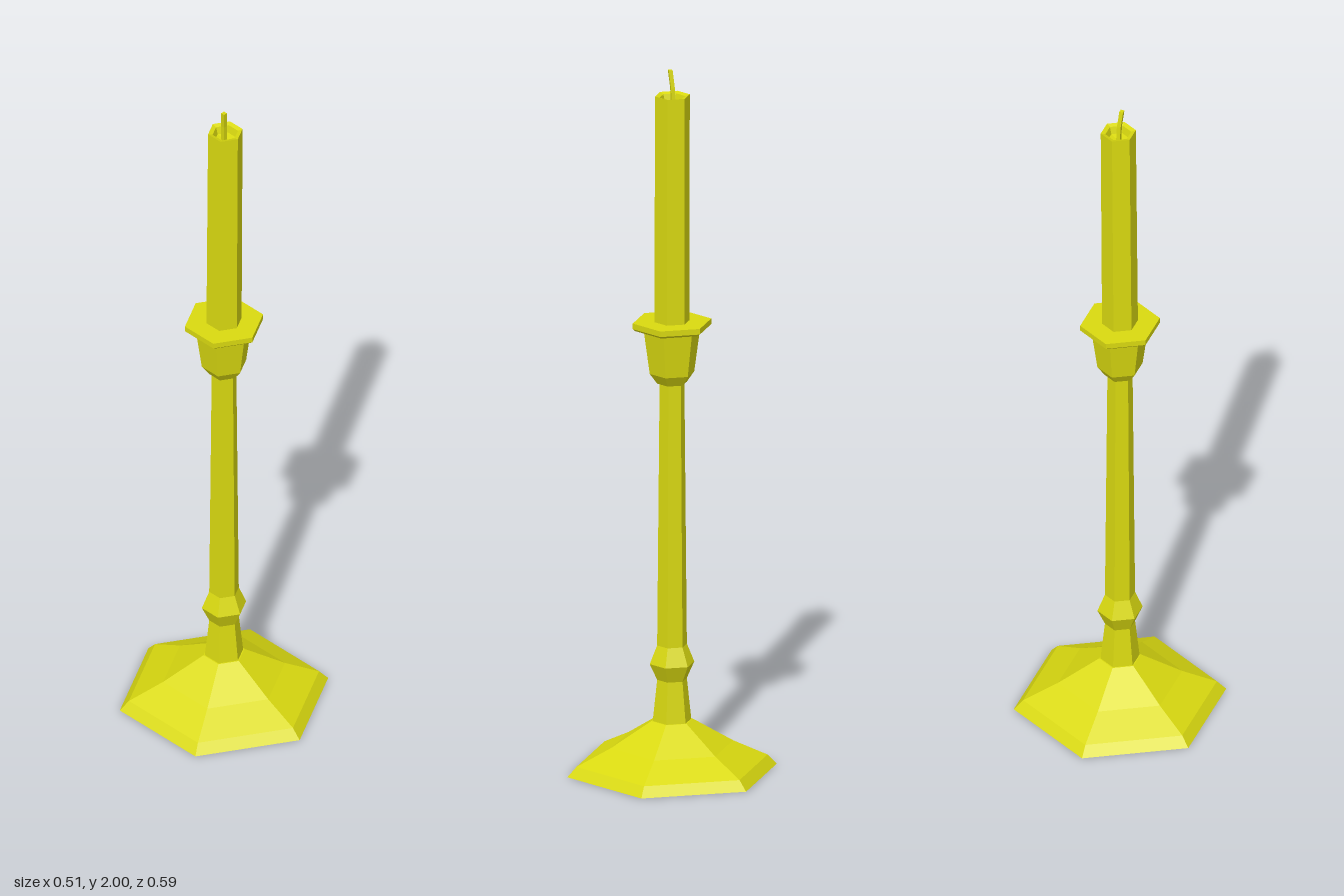
import * as THREE from 'three';

const brass = new THREE.MeshStandardMaterial({ color: 0xdada10 });
brass.name = 'yellow';

// Six-sided turned part: profile is [vertex radius, height], bottom to top
function hexTurned(name, profile, reshape) {
  const lathe = new THREE.LatheGeometry(profile.map(([r, y]) => new THREE.Vector2(r, y)), 6);
  if (reshape) reshape(lathe.attributes.position);
  const geometry = lathe.toNonIndexed();
  geometry.computeVertexNormals();
  const mesh = new THREE.Mesh(geometry, brass);
  mesh.name = name;
  return mesh;
}

export function createModel() {
  const group = new THREE.Group();
  group.name = 'candlestick';

  // Spreading foot
  group.add(hexTurned('base', [
    [0, 0], [0.296, 0], [0.27, 0.028], [0.173, 0.075], [0.058, 0.145], [0, 0.145],
  ]));

  // Stem with a knop near the foot
  group.add(hexTurned('stem', [
    [0.055, 0.14], [0.042, 0.262], [0.063, 0.308], [0.042, 0.36], [0.035, 1.112],
  ]));

  // Candle cup and drip pan
  group.add(hexTurned('cup', [
    [0, 1.108], [0.042, 1.108], [0.063, 1.137], [0.08, 1.262],
  ]));
  group.add(hexTurned('dripPan', [
    [0.07, 1.26], [0.104, 1.262], [0.111, 1.268], [0.111, 1.284], [0, 1.284],
  ]));

  // Candle with a melted hollow, its upper part leaning slightly to one side
  group.add(hexTurned('candle', [
    [0.05, 1.27], [0.049, 1.93], [0.036, 1.926], [0.03, 1.905], [0, 1.9],
  ], (p) => {
    for (let i = 0; i < p.count; i++) {
      if (p.getY(i) > 1.5) p.setX(i, p.getX(i) + 0.005);
    }
  }));

  // Square wick, bent a little at the tip
  const wickShape = new THREE.BoxGeometry(0.011, 0.1, 0.011, 1, 2, 1);
  const p = wickShape.attributes.position;
  for (let i = 0; i < p.count; i++) {
    const t = p.getY(i) / 0.1 + 0.5;
    p.setX(i, p.getX(i) + 0.003 - 0.007 * t * t);
    p.setZ(i, p.getZ(i) - 0.003 + 0.007 * t * t);
  }
  const wickGeometry = wickShape.toNonIndexed();
  wickGeometry.computeVertexNormals();
  const wick = new THREE.Mesh(wickGeometry, brass);
  wick.name = 'wick';
  wick.position.y = 1.95;
  group.add(wick);

  return group;
}
